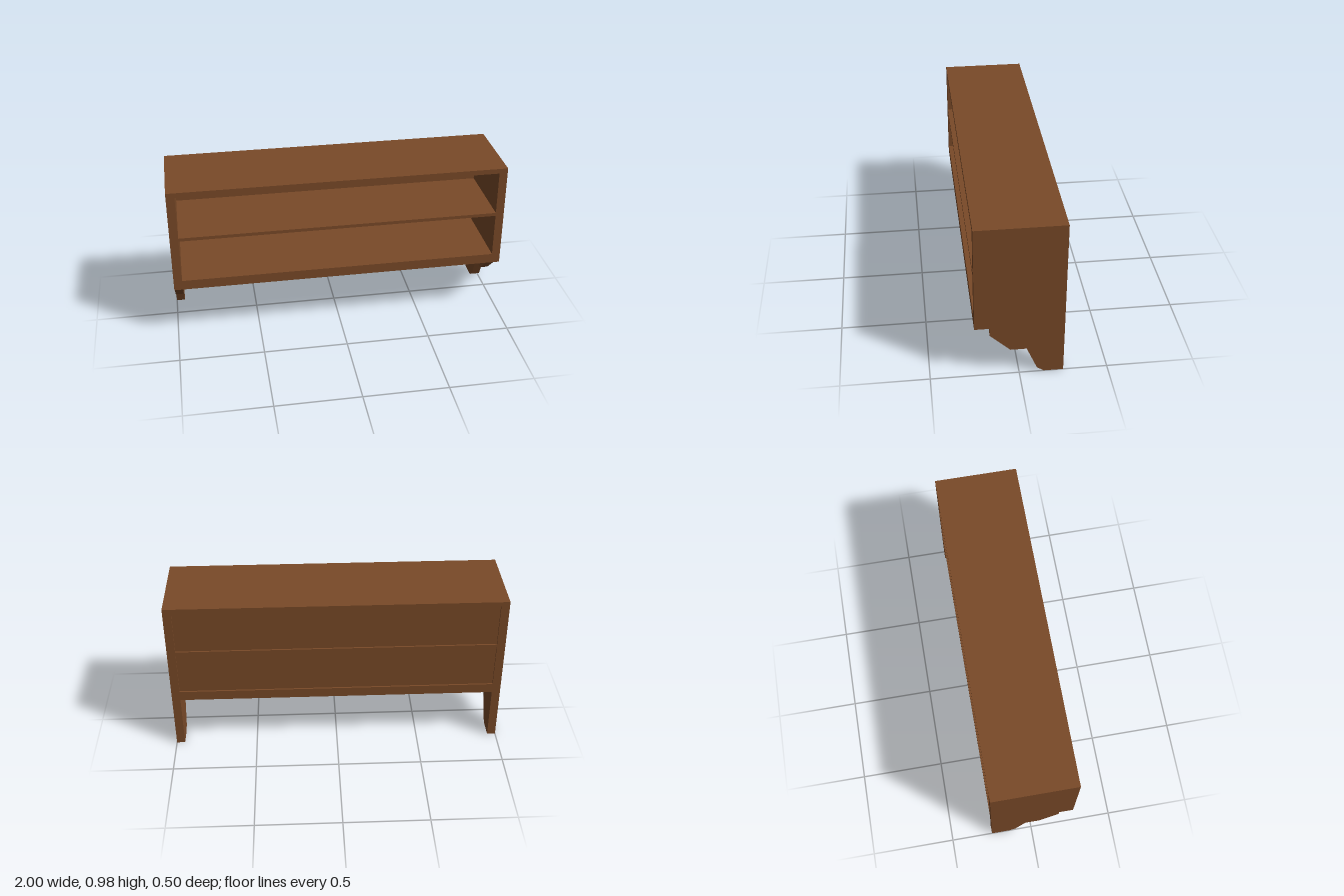
import * as THREE from 'three';

export function createModel() {
  const model = new THREE.Group();
  model.name = 'wallShelf';
  const wood = new THREE.MeshStandardMaterial({ color: 0x7a4a28 });
  wood.name = 'brownWood';

  // Board given by its x, y and z limits
  function board(name, x, y, z) {
    const geo = new THREE.BoxGeometry(x[1] - x[0], y[1] - y[0], z[1] - z[0]);
    const mesh = new THREE.Mesh(geo, wood);
    mesh.position.set((x[0] + x[1]) / 2, (y[0] + y[1]) / 2, (z[0] + z[1]) / 2);
    mesh.name = name;
    model.add(mesh);
  }

  // Side panels with a stepped bracket foot, profile as [z, y]
  const profile = [
    [0.25, 0.975], [0.25, 0.33], [0.165, 0.33], [0.165, 0.28], [0.05, 0.17],
    [-0.04, 0.17], [-0.1, 0.027], [-0.14, 0], [-0.25, 0], [-0.25, 0.975],
  ];
  const shape = new THREE.Shape(profile.map(([z, y]) => new THREE.Vector2(-z, y)));
  const sideGeo = new THREE.ExtrudeGeometry(shape, { depth: 0.05, bevelEnabled: false });
  sideGeo.rotateY(Math.PI / 2);
  for (const [name, x] of [['leftSide', 0.95], ['rightSide', -1]]) {
    const side = new THREE.Mesh(sideGeo, wood);
    side.position.x = x;
    side.name = name;
    model.add(side);
  }

  // Horizontal boards between the sides
  const inner = [-0.95, 0.95];
  const depth = [-0.25, 0.25];
  board('topBoard', inner, [0.945, 0.975], depth);
  board('middleShelf', inner, [0.66, 0.68], depth);
  board('bottomShelf', inner, [0.33, 0.39], depth);

  // Back panels closing both compartments
  board('upperBackPanel', inner, [0.68, 0.945], [-0.24, -0.22]);
  board('lowerBackPanel', inner, [0.39, 0.66], [-0.24, -0.22]);

  return model;
}
